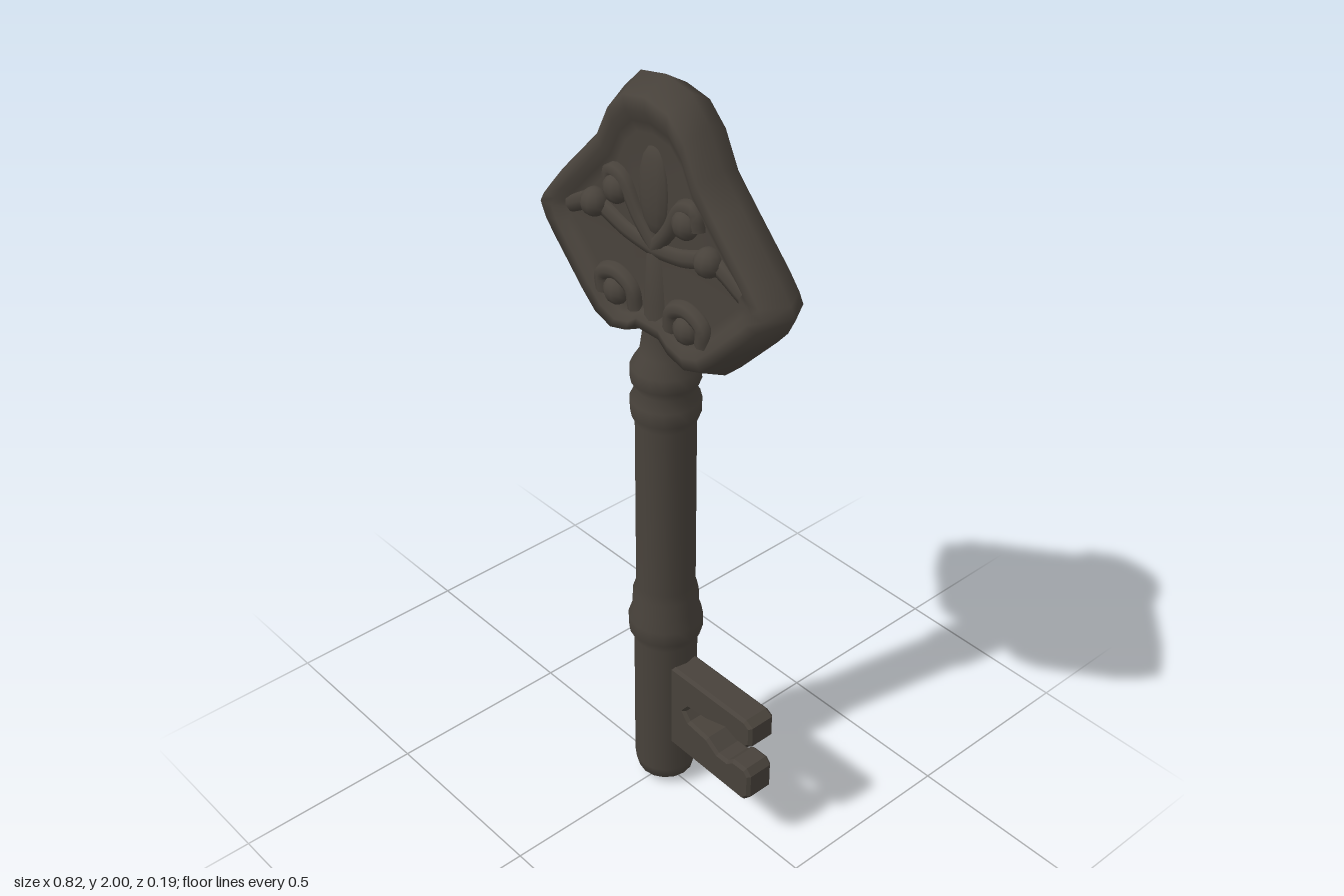
import * as THREE from 'three';

const iron = new THREE.MeshStandardMaterial({ color: 0x48423b });
iron.name = 'darkIron';

function part(geometry, name, parent) {
  const mesh = new THREE.Mesh(geometry, iron);
  mesh.name = name;
  parent.add(mesh);
  return mesh;
}

// Spade-shaped bow: outline rings stepped inwards over a bevel, rim and sunken panel
function bowGeometry() {
  const half = [[0.08, 1.984], [0.135, 1.93], [0.18, 1.84], [0.24, 1.775], [0.36, 1.65], [0.395, 1.607],
    [0.41, 1.58], [0.39, 1.54], [0.36, 1.505], [0.25, 1.39], [0.2, 1.345], [0.14, 1.325], [0.08, 1.342], [0.045, 1.37]];
  const outline = [[0, 2], ...half, [0, 1.37], ...half.map(([x, y]) => [-x, y]).reverse()];
  const rings = [[0.02, 0.035], [0.68, 0.035], [0.75, 0.045], [0.82, 0.058], [0.91, 0.06], [1, 0],
    [0.91, -0.06], [0.82, -0.058], [0.75, -0.045], [0.68, -0.035], [0.02, -0.035]];
  const cy = 1.6, n = outline.length, pos = [], index = [];
  for (const [s, z] of rings) for (const [x, y] of outline) pos.push(x * s, cy + (y - cy) * s, z);
  for (let r = 0; r < rings.length - 1; r++) {
    for (let i = 0; i < n; i++) {
      const a = r * n + i, b = r * n + (i + 1) % n;
      index.push(a, b, a + n, b, b + n, a + n);
    }
  }
  // Close the small centre holes
  const last = (rings.length - 1) * n;
  for (let i = 1; i < n - 1; i++) index.push(0, i + 1, i, last, last + i, last + i + 1);
  const g = new THREE.BufferGeometry();
  g.setAttribute('position', new THREE.Float32BufferAttribute(pos, 3));
  g.setIndex(index);
  g.computeVertexNormals();
  return g;
}

// Low relief stem lying on the panel
function tube(points, radius) {
  const path = new THREE.CatmullRomCurve3(points.map(([x, y, z]) => new THREE.Vector3(x, y, z)));
  return new THREE.TubeGeometry(path, 20, radius, 8);
}

function ornament(name) {
  const group = new THREE.Group();
  group.name = name;
  for (const s of [-1, 1]) {
    part(tube([[0, 1.6, 0.025], [s * 0.05, 1.66, 0.03], [s * 0.1, 1.735, 0.034], [s * 0.14, 1.74, 0.034], [s * 0.145, 1.7, 0.034]], 0.022), 'upperScroll', group);
    part(tube([[0, 1.595, 0.02], [s * 0.09, 1.61, 0.024], [s * 0.2, 1.64, 0.028], [s * 0.29, 1.6, 0.026]], 0.026), 'sideLeaf', group);
    part(tube([[s * 0.06, 1.42, 0.035], [s * 0.07, 1.47, 0.038], [s * 0.12, 1.492, 0.04], [s * 0.17, 1.47, 0.04], [s * 0.17, 1.425, 0.038]], 0.022), 'lowerScroll', group);
    for (const [x, y, r, flat] of [[0.115, 1.705, 0.035, 0.8], [0.19, 1.645, 0.035, 1], [0.12, 1.445, 0.035, 0.8]]) {
      const bead = part(new THREE.SphereGeometry(r, 10, 8), 'scrollBead', group);
      bead.scale.z = flat;
      bead.position.set(s * x, y, 0.046);
    }
  }
  // Central bud
  const bud = part(new THREE.SphereGeometry(1, 12, 8), 'centreBud', group);
  bud.scale.set(0.05, 0.11, 0.022);
  bud.position.set(0, 1.74, 0.03);
  return group;
}

export function createModel() {
  const key = new THREE.Group();
  key.name = 'key';

  // Turned shaft with collars, tapering into the bow
  const profile = [[0, 0], [0.05, 0.006], [0.073, 0.025], [0.082, 0.06], [0.081, 0.47], [0.095, 0.5], [0.095, 0.54],
    [0.085, 0.57], [0.083, 0.62], [0.075, 0.645], [0.074, 1.13], [0.085, 1.155], [0.086, 1.195], [0.07, 1.222],
    [0.085, 1.248], [0.084, 1.285], [0.062, 1.32], [0.055, 1.37], [0.05, 1.46], [0.044, 1.58], [0, 1.7]];
  part(new THREE.LatheGeometry(profile.map(([x, y]) => new THREE.Vector2(x, y)), 16), 'shaft', key);

  part(bowGeometry(), 'bow', key);
  key.add(ornament('frontOrnament'));
  const back = ornament('backOrnament');
  back.rotation.y = Math.PI;
  key.add(back);

  // Notched two-pronged bit
  const bit = [[0.04, 0.41], [0.335, 0.41], [0.352, 0.4], [0.352, 0.35], [0.34, 0.34], [0.31, 0.34], [0.27, 0.355],
    [0.2, 0.334], [0.13, 0.327], [0.105, 0.295], [0.13, 0.267], [0.2, 0.258], [0.24, 0.232], [0.28, 0.232],
    [0.3, 0.25], [0.34, 0.25], [0.352, 0.237], [0.352, 0.175], [0.335, 0.157], [0.04, 0.164]];
  const bitGeometry = new THREE.ExtrudeGeometry(new THREE.Shape(bit.map(([x, y]) => new THREE.Vector2(x, y))), {
    depth: 0.066, bevelEnabled: true, bevelThickness: 0.008, bevelSize: 0.008, bevelSegments: 1,
  });
  bitGeometry.translate(0, 0, -0.033);
  part(bitGeometry, 'bit', key);

  return key;
}
